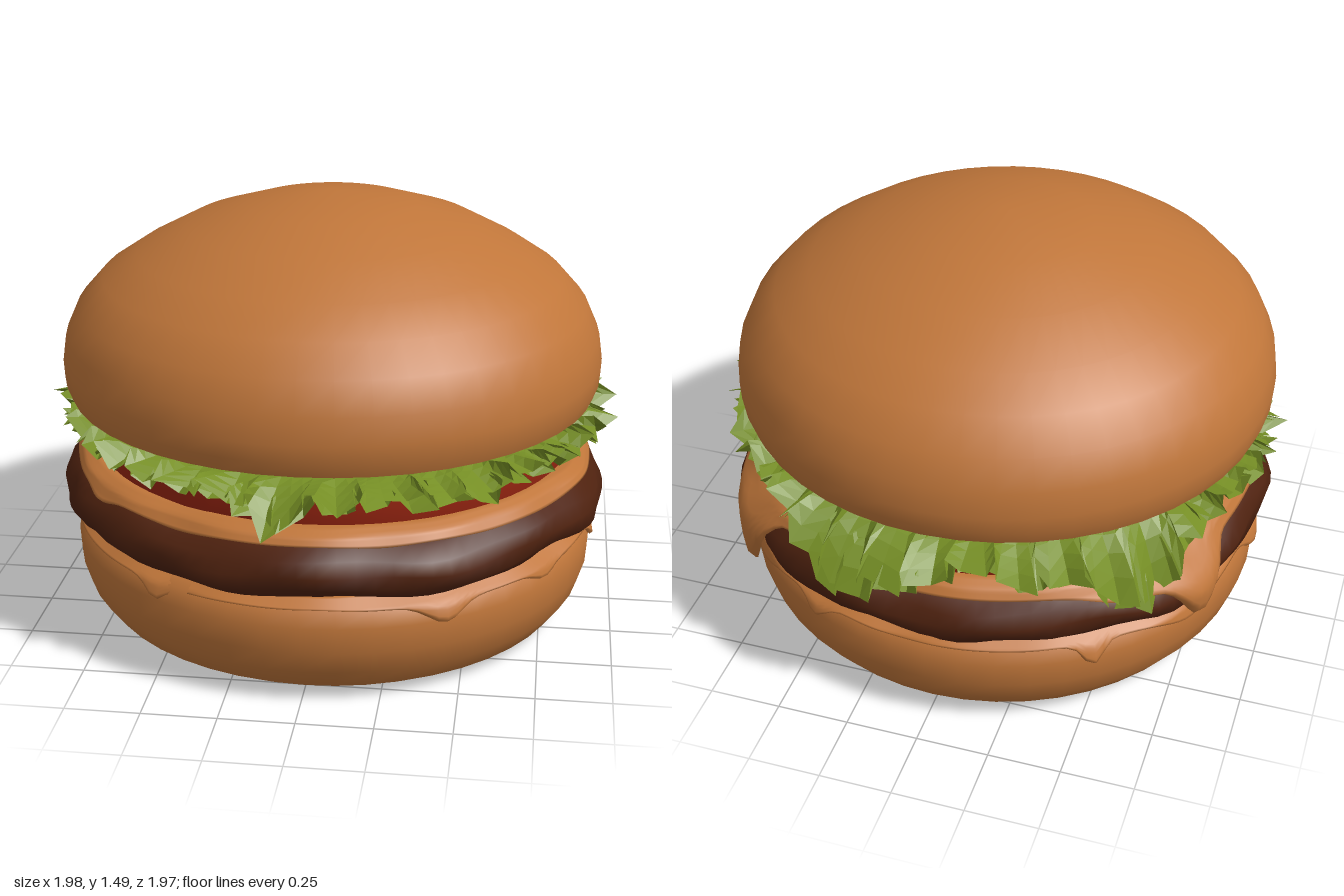
import * as THREE from 'three';
import { toCreasedNormals } from 'three/addons/utils/BufferGeometryUtils.js';

const TAU = Math.PI * 2;

// Closed surface of rings round the y axis; fn(angle, row) gives [radius, y, twist].
// Rows that climb outward-side-up face outward.
function rings(rows, segs, fn) {
  const pos = [], index = [];
  for (let i = 0; i < rows; i++) {
    for (let j = 0; j < segs; j++) {
      const a = (j / segs) * TAU;
      const [r, y, twist = 0] = fn(a, i, j);
      pos.push(r * Math.sin(a + twist), y, r * Math.cos(a + twist));
      if (i === rows - 1) continue;
      const k = (j + 1) % segs;
      const p = i * segs + j, q = i * segs + k;
      index.push(p, q, q + segs, p, q + segs, p + segs);
    }
  }
  const g = new THREE.BufferGeometry();
  g.setAttribute('position', new THREE.Float32BufferAttribute(pos, 3));
  g.setIndex(index);
  g.computeVertexNormals();
  return g;
}

// Seeded random numbers
function seeded(s) {
  return () => (s = (s * 16807) % 2147483647) / 2147483647;
}

// Sum of soft bumps [angle, height, width] round the circle
function bumps(list, a) {
  return list.reduce((sum, [at, h, w]) => {
    const d = Math.atan2(Math.sin(a - at), Math.cos(a - at)) / w;
    return sum + h * Math.exp(-d * d);
  }, 0);
}

// Piecewise-linear lookup of radius by height in [y, radius] pairs
function radiusAt(table, y) {
  if (y <= table[0][0]) return table[0][1];
  for (let i = 1; i < table.length; i++) {
    const [y0, r0] = table[i - 1], [y1, r1] = table[i];
    if (y <= y1) return r0 + ((r1 - r0) * (y - y0)) / (y1 - y0);
  }
  return table[table.length - 1][1];
}

const wave = (a) => 0.5 * Math.sin(5 * a + 1) + 0.35 * Math.sin(9 * a + 2.3) + 0.3 * Math.sin(16 * a);

export function createModel() {
  const group = new THREE.Group();
  const mat = (name, color, side = THREE.FrontSide) => {
    const m = new THREE.MeshStandardMaterial({ color, side });
    m.name = name;
    return m;
  };
  const bread = mat('toasted bread', 0xc0763a);
  const sauce = mat('sauce', 0xc0763a, THREE.DoubleSide);
  const meat = mat('grilled meat', 0x4f220f);
  const tomatoRed = mat('tomato red', 0x9c2612);
  const leafGreen = mat('lettuce green', 0x768f25, THREE.DoubleSide);

  const add = (name, geometry, material) => {
    const mesh = new THREE.Mesh(geometry, material);
    mesh.name = name;
    group.add(mesh);
    return mesh;
  };
  const turned = (profile, segs) =>
    toCreasedNormals(rings(profile.length, segs, (a, i) => profile[i]), 0.75);

  // Buns
  add('bottomBun', turned([[0, 0], [0.755, 0], [0.83, 0.045], [0.885, 0.12], [0.91, 0.2],
    [0.915, 0.29], [0.895, 0.35], [0.85, 0.385], [0, 0.39]], 48), bread);
  add('topBun', turned([[0, 0.795], [0.87, 0.795], [0.912, 0.812], [0.93, 0.86], [0.933, 0.92],
    [0.92, 1.01], [0.875, 1.11], [0.79, 1.205], [0.67, 1.285], [0.5, 1.375], [0.29, 1.442],
    [0, 1.49]], 48), bread).position.set(-0.005, 0, 0.01);

  // Uneven patty
  const pattyProfile = [[0, 0.365], [0.84, 0.365], [0.905, 0.395], [0.94, 0.43], [0.945, 0.475],
    [0.925, 0.52], [0.885, 0.56], [0.82, 0.58], [0, 0.58]];
  add('patty', rings(pattyProfile.length, 96, (a, i) => {
    const [r, y] = pattyProfile[i];
    const edge = r > 0.8 ? 1 : 0;
    const lump = 0.016 * wave(a) + 0.008 * Math.sin(13 * a + i * 1.7);
    return [r + edge * lump, y + edge * 0.012 * Math.sin(7 * a + 1)];
  }), meat);

  // Sauce skins: a dripping hem that follows the layer beneath
  const sauceSkin = (name, top, hem, drips, table, lift) => {
    const rows = 11;
    add(name, rings(rows, 180, (a, i) => {
      if (i === rows - 1) return [0.5, top];
      const t = i / (rows - 2);
      const drip = bumps(drips, a);
      const low = hem + 0.01 * wave(a) - drip;
      const y = low + (top - low) * t;
      const bulge = drip * 0.12 * Math.sin(Math.PI * Math.min(1, t + 0.15));
      return [radiusAt(table, y) + 0.016 * wave(a) + bulge + lift * (i ? 1 : 0.2), y];
    }), sauce);
  };
  sauceSkin('upperSauce', 0.615, 0.56,
    [[2.27, 0.24, 0.12], [2.1, 0.04, 0.2], [-2.1, 0.2, 0.11], [-2.35, 0.05, 0.2], [-0.9, 0.02, 0.1]],
    [[0.45, 0.945], [0.475, 0.945], [0.52, 0.925], [0.56, 0.888], [0.595, 0.865], [0.615, 0.82]], 0.02);
  sauceSkin('lowerSauce', 0.385, 0.345,
    [[0.52, 0.06, 0.09], [-0.57, 0.05, 0.06], [-1.57, 0.06, 0.08], [1.47, 0.05, 0.06],
      [1.95, 0.04, 0.2], [2.27, 0.05, 0.15], [2.68, 0.05, 0.06], [-2.52, 0.08, 0.05], [-2.1, 0.05, 0.16],
      [1.0, 0.03, 0.08]],
    [[0.2, 0.91], [0.29, 0.915], [0.35, 0.895], [0.385, 0.85]], 0.014);

  // Tomato slice
  add('tomato', turned([[0, 0.6], [0.825, 0.6], [0.832, 0.615], [0.832, 0.71], [0.82, 0.72],
    [0, 0.72]], 64), tomatoRed);

  // Ruffled lettuce: folded sheets with a few hanging leaves
  const hanging = [[-2.37, 0.22, 0.19], [2.83, 0.17, 0.2], [3.1, 0.06, 0.15], [-0.08, 0.1, 0.06],
    [-2.75, 0.06, 0.15], [1.5, 0.03, 0.1], [0.6, 0.03, 0.08]];
  const reach = [[-2.37, 0.05, 0.2], [2.9, 0.06, 0.3], [0, 0.03, 0.25], [1.57, 0.02, 0.3], [-1.57, 0.02, 0.3]];
  const lettuceSheet = (name, seed, folds, height, edge, droop) => {
    const rand = seeded(seed), segs = folds * 4, rows = 6;
    const jitter = Array.from({ length: segs }, () => [rand() - 0.5, rand() - 0.5, rand() - 0.5]);
    const g = rings(rows, segs, (a, i, j) => {
      if (i === rows - 1) return [0.1, height];
      const t = 1 - i / (rows - 2);
      const [n1, n2, n3] = jitter[j];
      const phase = folds * a + 1.5 * Math.sin(3 * a + seed);
      const fold = Math.sin(phase);
      const r = 0.79 + t * (edge - 0.79 + bumps(reach, a) + 0.05 * n1 + 0.025 * Math.cos(phase * 2));
      const y = height + t * (0.035 * fold + 0.045 * n2 - droop) - t * t * bumps(hanging, a);
      return [Math.min(r, 0.995), Math.min(y, 0.83), t * (0.035 * Math.cos(phase + 0.6) + 0.02 * n3)];
    }).toNonIndexed();
    g.computeVertexNormals();
    add(name, g, leafGreen);
  };
  lettuceSheet('lowerLettuce', 11, 44, 0.735, 0.915, 0.015);
  lettuceSheet('upperLettuce', 47, 37, 0.755, 0.935, 0.005);

  return group;
}
